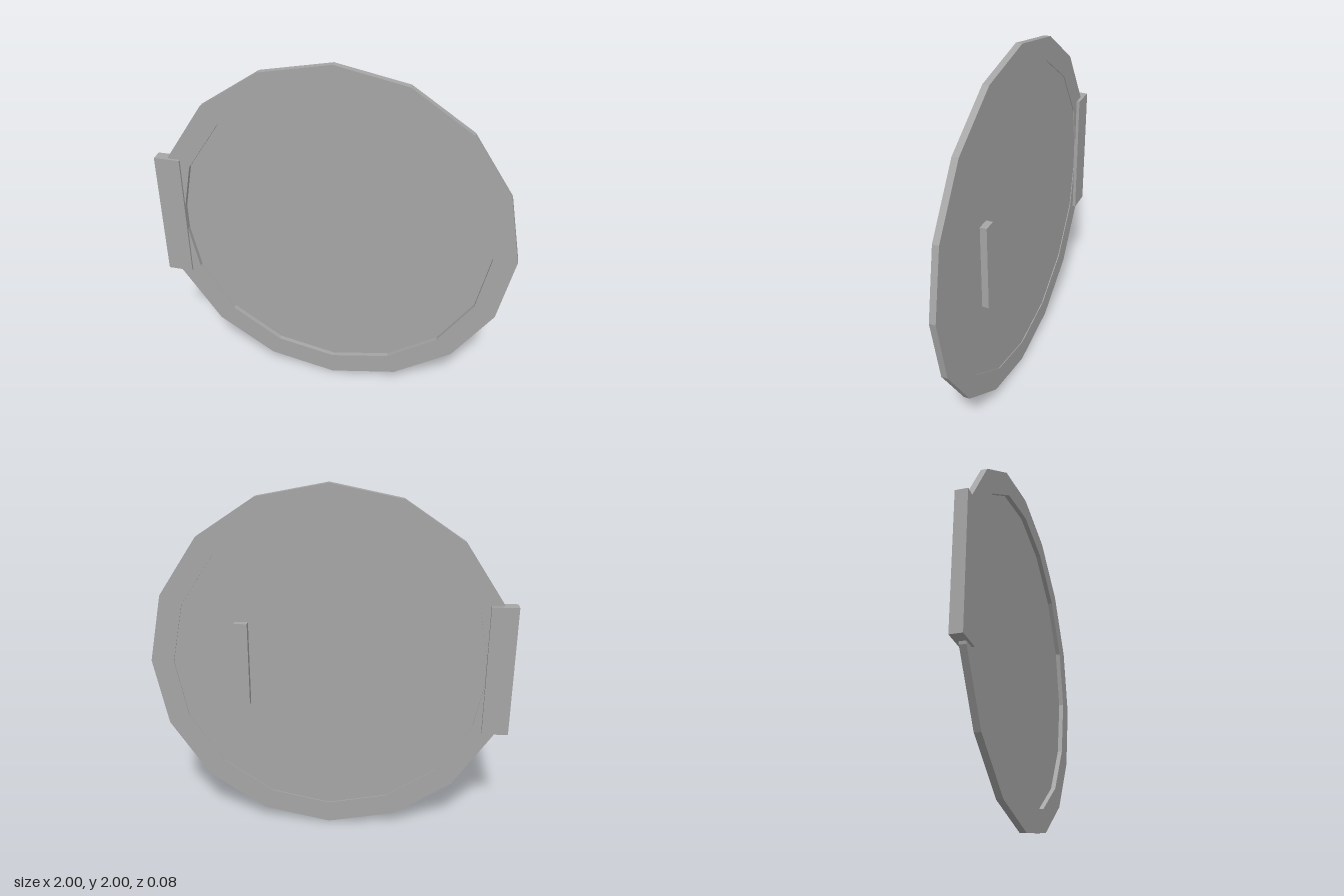
import * as THREE from 'three';

const SIDES = 16, OUTER = 0.998, INNER = 0.87, CENTER_Y = 1;

// Corner points of a regular polygon with a corner at the top
function polygon(radius) {
  return Array.from({ length: SIDES }, (_, i) => {
    const a = (i / SIDES) * Math.PI * 2;
    return new THREE.Vector2(Math.cos(a) * radius, Math.sin(a) * radius);
  });
}

// Extrude a shape between two depths
function slab(shape, z0, z1) {
  const g = new THREE.ExtrudeGeometry(shape, { depth: z1 - z0, bevelEnabled: false });
  return g.translate(0, CENTER_Y, z0);
}

// Box given by its limits
function block(x0, x1, y0, y1, z0, z1) {
  return new THREE.BoxGeometry(x1 - x0, y1 - y0, z1 - z0)
    .translate((x0 + x1) / 2, (y0 + y1) / 2, (z0 + z1) / 2);
}

export function createModel() {
  const group = new THREE.Group();
  group.name = 'roundDoor';
  const gray = new THREE.MeshStandardMaterial({ color: 0xa6a6a6, flatShading: true });
  gray.name = 'gray';

  const add = (name, geometry) => {
    const mesh = new THREE.Mesh(geometry, gray);
    mesh.name = name;
    group.add(mesh);
  };

  // Sixteen-sided rim with an open middle
  const ring = new THREE.Shape(polygon(OUTER));
  ring.holes.push(new THREE.Path(polygon(INNER)));
  add('rim', slab(ring, -0.008, 0.027));

  // Thin panel, deeply recessed at the front and slightly at the back
  add('panel', slab(new THREE.Shape(polygon(INNER)), -0.003, 0.001));

  // Hinge block on the right edge and grip bar on the back
  add('hinge', block(-1, -0.855, 0.633, 1.373, -0.026, 0.04));
  add('handle', block(0.442, 0.515, 0.765, 1.243, -0.04, -0.002));

  return group;
}
